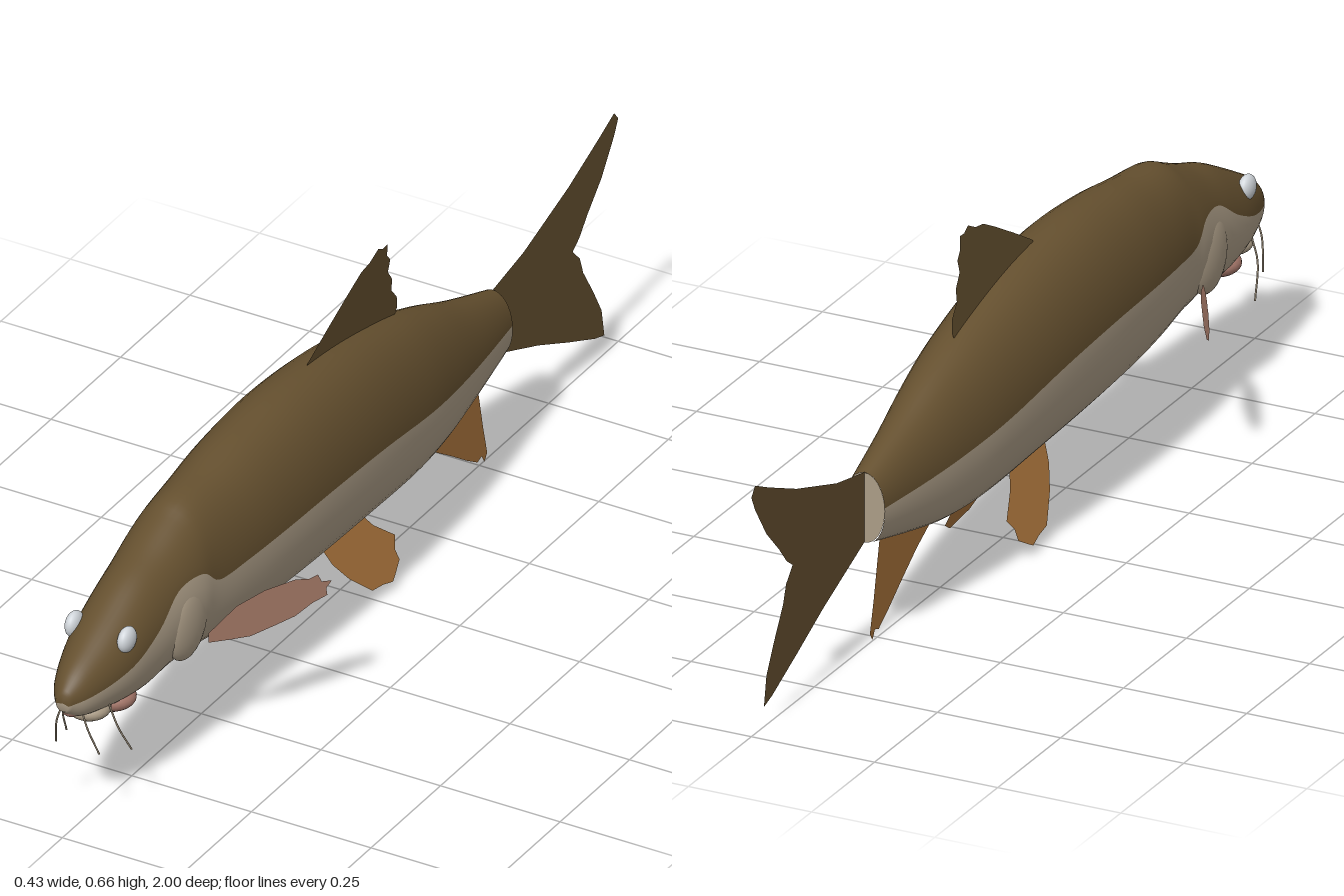
import * as THREE from 'three';

const mat = (name, color, side = THREE.FrontSide) => {
  const m = new THREE.MeshStandardMaterial({ color, side });
  m.name = name;
  return m;
};

// Body stations: z, top, bottom, half width, height of the colour line
const stations = [
  [1.0, 0.305, 0.27, 0.014, 0.284],
  [0.965, 0.338, 0.244, 0.038, 0.292],
  [0.91, 0.37, 0.23, 0.058, 0.302],
  [0.85, 0.402, 0.218, 0.072, 0.318],
  [0.78, 0.437, 0.208, 0.079, 0.35],
  [0.71, 0.462, 0.212, 0.085, 0.395],
  [0.64, 0.492, 0.206, 0.091, 0.398],
  [0.59, 0.512, 0.198, 0.092, 0.362],
  [0.5, 0.522, 0.186, 0.102, 0.362],
  [0.38, 0.538, 0.176, 0.112, 0.366],
  [0.22, 0.546, 0.168, 0.117, 0.366],
  [0.03, 0.53, 0.16, 0.113, 0.352],
  [-0.16, 0.49, 0.15, 0.099, 0.322],
  [-0.29, 0.448, 0.155, 0.082, 0.304],
  [-0.41, 0.398, 0.177, 0.063, 0.292],
  [-0.55, 0.348, 0.21, 0.041, 0.285],
];

function bodyGeometry() {
  const spine = new THREE.CatmullRomCurve3(stations.map(s => new THREE.Vector3(s[0], s[1], s[2])), false, 'catmullrom', 0.5);
  const girth = new THREE.CatmullRomCurve3(stations.map(s => new THREE.Vector3(s[3], s[4], 0)), false, 'catmullrom', 0.5);
  const rings = 75, half = 20, n = half * 2;
  const pos = [], back = [], belly = [];
  for (let i = 0; i <= rings; i++) {
    const { x: z, y: top, z: bottom } = spine.getPoint(i / rings);
    const { x: w, y: line } = girth.getPoint(i / rings);
    const cy = (top + bottom) / 2, h = (top - bottom) / 2;
    const a0 = Math.asin(THREE.MathUtils.clamp((line - cy) / h, -0.9, 0.9));
    for (let j = 0; j < n; j++) {
      // First half of the ring is the back, second half the belly
      const a = j < half
        ? a0 + (Math.PI - 2 * a0) * j / half
        : Math.PI - a0 + (Math.PI + 2 * a0) * (j - half) / half;
      const c = Math.cos(a), s = Math.sin(a);
      const x = s < 0 ? Math.sign(c) * Math.abs(c) ** 0.85 : c;
      pos.push(w * x, cy + h * s, z);
    }
  }
  for (let i = 0; i < rings; i++) {
    for (let j = 0; j < n; j++) {
      const k = (j + 1) % n, a = i * n + j, b = i * n + k, d = a + n, c = b + n;
      (j < half ? back : belly).push(a, d, b, b, d, c);
    }
  }
  // Snout tip
  const tip = pos.length / 3;
  pos.push(0, 0.287, 1.0);
  for (let j = 0; j < n; j++) (j < half ? back : belly).push(tip, j, (j + 1) % n);

  const g = new THREE.BufferGeometry();
  g.setAttribute('position', new THREE.Float32BufferAttribute(pos, 3));
  g.setIndex([...back, ...belly]);
  g.addGroup(0, back.length, 0);
  g.addGroup(back.length, belly.length, 1);
  g.computeVertexNormals();
  return g;
}

// Flat fin outlined in (z, y), placed sideways by the rule xAt(z, y)
function finGeometry(outline, xAt) {
  const g = new THREE.ShapeGeometry(new THREE.Shape(outline.map(p => new THREE.Vector2(...p))));
  const p = g.attributes.position;
  for (let i = 0; i < p.count; i++) {
    const z = p.getX(i), y = p.getY(i);
    p.setXYZ(i, xAt(z, y), y, z);
  }
  g.computeVertexNormals();
  return g;
}

export function createModel() {
  const fish = new THREE.Group();
  fish.name = 'fish';
  const back = mat('olive back', 0x65502f);
  const belly = mat('pale belly', 0xab9c86);
  const lip = mat('pink lips', 0xa5776a);
  const eye = mat('eye white', 0xd0d5da);
  const oliveFin = mat('olive fin', 0x65502f, THREE.DoubleSide);
  const orangeFin = mat('orange fin', 0xa6713a, THREE.DoubleSide);
  const pinkFin = mat('pink fin', 0xa87c69, THREE.DoubleSide);

  const add = (name, geometry, material) => {
    const m = new THREE.Mesh(geometry, material);
    m.name = name;
    fish.add(m);
    return m;
  };
  const ball = (name, material, at, radii) => {
    const m = add(name, new THREE.SphereGeometry(1, 24, 16), material);
    m.position.set(...at);
    m.scale.set(...radii);
    return m;
  };

  add('body', bodyGeometry(), [back, belly]);
  const stump = add('tailRoot', new THREE.CircleGeometry(1, 32), belly);
  stump.scale.set(0.041, 0.069, 1);
  stump.rotation.y = Math.PI;
  stump.position.set(0, 0.279, -0.55);

  // Mouth
  ball('upperLip', lip, [0, 0.262, 0.965], [0.019, 0.018, 0.022]);
  ball('lowerLip', lip, [0, 0.222, 0.835], [0.054, 0.027, 0.045]);
  ball('chin', belly, [0, 0.232, 0.905], [0.042, 0.022, 0.04]);

  // Median fins
  add('dorsalFin', finGeometry([
    [0.13, 0.53], [0.118, 0.545], [0.05, 0.585], [-0.016, 0.622], [-0.06, 0.645], [-0.09, 0.65], [-0.118, 0.664],
    [-0.135, 0.655], [-0.152, 0.656], [-0.155, 0.63], [-0.168, 0.615], [-0.163, 0.59], [-0.182, 0.565],
    [-0.182, 0.54], [-0.205, 0.515], [-0.21, 0.49], [-0.2, 0.47],
  ], (z, y) => (y - 0.53) * 0.08), oliveFin);
  add('tailFin', finGeometry([
    [-0.54, 0.347], [-0.66, 0.37], [-0.82, 0.422], [-0.93, 0.468], [-0.985, 0.493], [-1, 0.475], [-0.985, 0.445],
    [-0.94, 0.38], [-0.89, 0.33], [-0.86, 0.295], [-0.836, 0.278], [-0.862, 0.25], [-0.874, 0.214],
    [-0.91, 0.155], [-0.94, 0.1], [-0.95, 0.042], [-0.917, 0.052], [-0.82, 0.095], [-0.713, 0.145], [-0.54, 0.215],
  ], () => 0), oliveFin);
  add('analFin', finGeometry([
    [-0.26, 0.158], [-0.34, 0.115], [-0.4, 0.075], [-0.45, 0.04], [-0.49, 0.015], [-0.505, 0.02], [-0.515, 0.003],
    [-0.525, 0.018], [-0.51, 0.08], [-0.485, 0.2], [-0.38, 0.19],
  ], () => 0.002), orangeFin);

  for (const s of [1, -1]) {
    const side = s > 0 ? 'left' : 'right';
    ball(side + 'Eye', eye, [s * 0.055, 0.367, 0.862], [0.015, 0.025, 0.025]);
    ball(side + 'GillCover', belly, [s * 0.07, 0.312, 0.675], [0.024, 0.077, 0.065]);

    add(side + 'PectoralFin', finGeometry([
      [0.62, 0.242], [0.62, 0.262], [0.57, 0.302], [0.52, 0.318], [0.465, 0.322], [0.44, 0.315], [0.425, 0.319],
      [0.418, 0.302], [0.4, 0.298], [0.41, 0.285], [0.408, 0.27], [0.435, 0.262], [0.465, 0.245],
      [0.5, 0.238], [0.545, 0.23], [0.58, 0.235],
    ], z => s * (0.085 + (0.62 - z) * 0.59)), pinkFin);
    add(side + 'PelvicFin', finGeometry([
      [0.12, 0.175], [0.1, 0.12], [0.07, 0.08], [0.02, 0.035], [-0.015, 0.03], [-0.045, 0.022], [-0.06, 0.03],
      [-0.085, 0.045], [-0.083, 0.065], [-0.098, 0.085], [-0.05, 0.125], [-0.01, 0.18],
    ], (z, y) => s * (0.025 + (0.16 - y) * 0.43)), orangeFin);

    // Barbels
    const barbels = [
      [[0.02, 0.26, 0.965], [0.032, 0.225, 0.965], [0.045, 0.165, 0.945]],
      [[0.042, 0.25, 0.905], [0.057, 0.205, 0.9], [0.068, 0.142, 0.868]],
    ];
    barbels.forEach((pts, i) => {
      const path = new THREE.CatmullRomCurve3(pts.map(([x, y, z]) => new THREE.Vector3(s * x, y, z)));
      add(side + (i ? 'RearBarbel' : 'FrontBarbel'), new THREE.TubeGeometry(path, 10, 0.0018, 6), belly);
    });
  }
  return fish;
}
